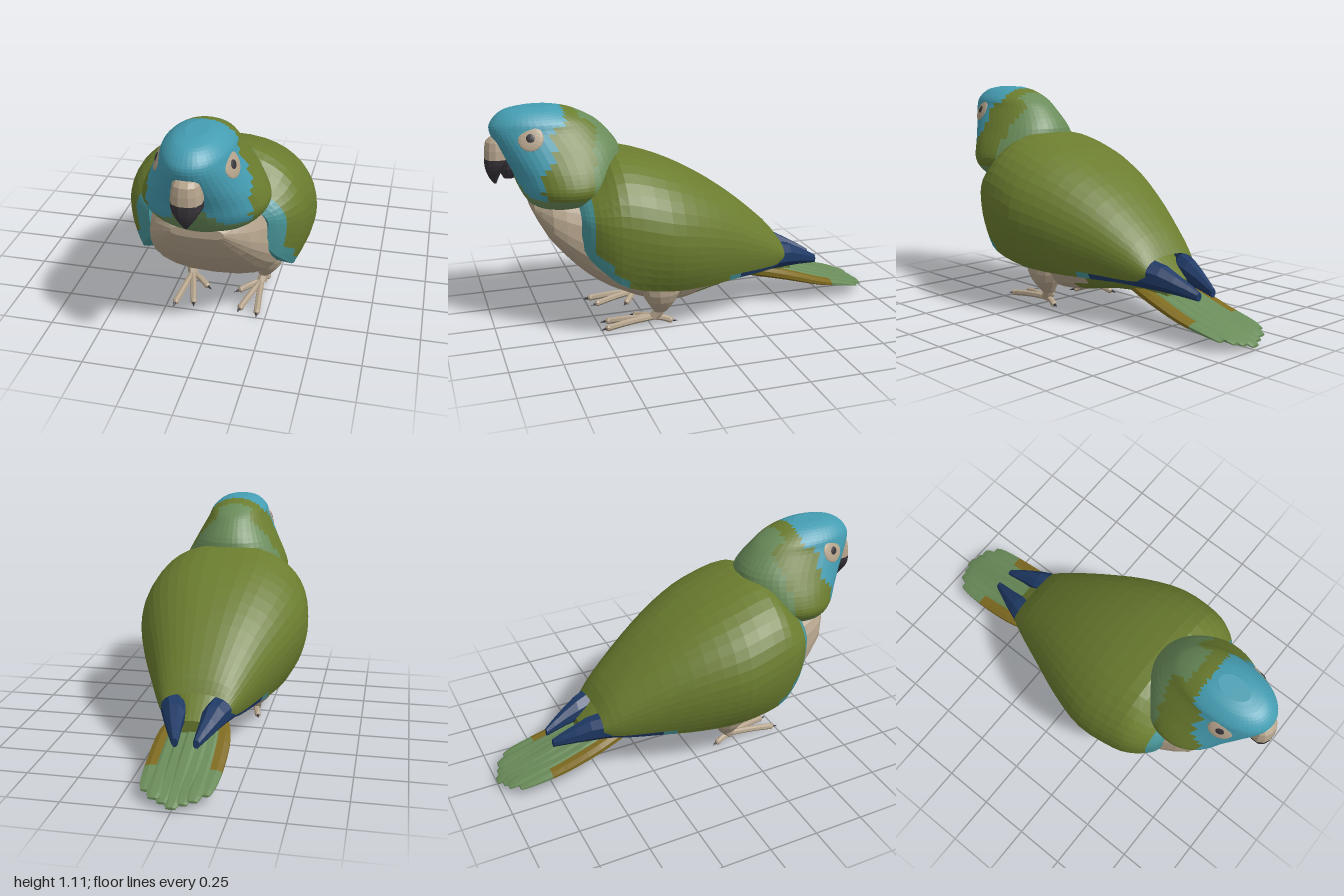
import * as THREE from 'three';

const palette = {
  headBlue: 0x459db2, edgeTeal: 0x489599, leafGreen: 0x6b7d2f, sage: 0x6a8c5a, cream: 0xb5a48c,
  navy: 0x1f3a66, ochre: 0x7f6b20, charcoal: 0x38343a,
};
const mats = {};
for (const [name, color] of Object.entries(palette)) {
  mats[name] = new THREE.MeshStandardMaterial({ color, flatShading: true });
  mats[name].name = name;
}
const V = (x, y, z) => new THREE.Vector3(x, y, z);

// Smoothly subdivides rows of section numbers
function refine(rows, k) {
  const out = [];
  for (let i = 0; i < rows.length - 1; i++) {
    const a = rows[Math.max(i - 1, 0)], b = rows[i], c = rows[i + 1], d = rows[Math.min(i + 2, rows.length - 1)];
    for (let s = 0; s < k; s++) {
      const t = s / k;
      out.push(b.map((p, n) => p + 0.5 * t * (c[n] - a[n] + t * (2 * a[n] - 5 * p + 4 * c[n] - d[n]
        + t * (3 * (p - c[n]) + d[n] - a[n])))));
    }
  }
  out.push(rows[rows.length - 1]);
  return out;
}

// Skins closed rings; colourOf(centre, normal) picks the material of each facet
function skin(name, rings, colourOf, cap = true) {
  const tris = [];
  const quad = (a, b, c, d) => {
    const mid = a.clone().add(b).add(c).add(d).multiplyScalar(0.25);
    tris.push({ p: [a, b, c], mid }, { p: [a, c, d], mid });
  };
  const n = rings[0].length;
  for (let i = 0; i < rings.length - 1; i++)
    for (let j = 0; j < n; j++) {
      const m = (j + 1) % n;
      quad(rings[i][j], rings[i][m], rings[i + 1][m], rings[i + 1][j]);
    }
  if (cap) for (const [ring, flip] of [[rings[0], true], [rings[rings.length - 1], false]]) {
    const mid = ring.reduce((s, p) => s.add(p), V(0, 0, 0)).divideScalar(n);
    for (let j = 0; j < n; j++) {
      const a = ring[j], b = ring[(j + 1) % n];
      tris.push({ p: flip ? [mid, b, a] : [mid, a, b], mid });
    }
  }
  // Turn the facets outward
  let volume = 0;
  for (const { p } of tris) volume += p[0].dot(p[1].clone().cross(p[2]));
  const byColour = {};
  for (const t of tris) {
    if (volume < 0) t.p.reverse();
    const normal = t.p[1].clone().sub(t.p[0]).cross(t.p[2].clone().sub(t.p[0]));
    if (normal.length() < 1e-9) continue;
    (byColour[colourOf(t.mid, normal.normalize())] ??= []).push(...t.p);
  }
  const geo = new THREE.BufferGeometry(), points = [], used = [];
  for (const [colour, list] of Object.entries(byColour)) {
    geo.addGroup(points.length, list.length, used.length);
    points.push(...list);
    used.push(mats[colour]);
  }
  geo.setFromPoints(points);
  geo.computeVertexNormals();
  const mesh = new THREE.Mesh(geo, used);
  mesh.name = name;
  return mesh;
}

// Rounded sections [along, centreA, centreB, halfA, halfB] along 'y' or 'z'; taper narrows their tops
function loft(name, rows, axis, sides, k, colourOf, power = 1, taper = 0) {
  const pw = v => Math.sign(v) * Math.abs(v) ** power;
  const rings = refine(rows, k).map(([s, ca, cb, ha, hb]) => Array.from({ length: sides }, (_, j) => {
    const t = (j + 0.5) / sides * Math.PI * 2;
    const a = ca + ha * pw(Math.cos(t)) * (1 - taper * Math.sin(t)), b = cb + hb * pw(Math.sin(t));
    return axis === 'y' ? V(a, s, b) : V(a, b, s);
  }));
  return skin(name, rings, colourOf);
}

function part(name, geo, colour, pos, parent) {
  const mesh = new THREE.Mesh(geo, mats[colour]);
  mesh.name = name;
  mesh.position.copy(pos);
  parent.add(mesh);
  return mesh;
}

export function createModel() {
  const bird = new THREE.Group();
  bird.name = 'parrot';

  // Body: z, top, bottom, half width
  const body = [[0.79, 0.66, 0.6, 0.12], [0.72, 0.72, 0.465, 0.22], [0.6, 0.75, 0.325, 0.275], [0.5, 0.75, 0.24, 0.305],
    [0.4, 0.75, 0.18, 0.31], [0.25, 0.75, 0.11, 0.295], [0.1, 0.7, 0.085, 0.27], [0, 0.62, 0.1, 0.24],
    [-0.2, 0.5, 0.14, 0.19], [-0.4, 0.36, 0.155, 0.145], [-0.55, 0.24, 0.15, 0.09]];
  bird.add(loft('body', body.map(([z, t, b, w]) => [z, 0, (t + b) / 2, w, (t - b) / 2]), 'z', 26, 2,
    p => p.z < (p.y > 0.17 ? -0.09 : -0.01) ? 'leafGreen' : 'cream', 0.8, 0.17));

  // Back and folded wings: z, top, half width, widest height, lower edge height, lower edge x, thickness
  const wing = [[0.6, 0.69, 0.28, 0.6, 0.48, 0.265, 0], [0.57, 0.74, 0.335, 0.59, 0.42, 0.31, 0.2],
    [0.5, 0.81, 0.395, 0.57, 0.35, 0.35, 0.29], [0.4, 0.885, 0.43, 0.54, 0.28, 0.37, 0.25],
    [0.2, 0.838, 0.445, 0.49, 0.235, 0.36, 0.2], [0, 0.748, 0.39, 0.45, 0.225, 0.325, 0.2],
    [-0.2, 0.62, 0.305, 0.39, 0.225, 0.265, 0.2], [-0.4, 0.45, 0.215, 0.31, 0.225, 0.195, 0.2],
    [-0.48, 0.35, 0.17, 0.28, 0.24, 0.155, 0]];
  const arc = 32;
  const wingRings = refine(wing, 3).map(([z, top, w, mid, low, lx, thick]) => {
    const outer = [], inner = [];
    for (let j = 0; j <= arc; j++) {
      const u = 2 * j / arc - 1, side = Math.sign(u), f = Math.abs(u) * 1.6;
      let x, y;
      if (f < 1) {
        const t = f * Math.PI / 2;
        x = w * Math.sin(t) ** 0.82;
        y = mid + (top - mid) * Math.cos(t);
      } else {
        const g = (f - 1) / 0.6;
        x = w + (lx - w) * g * g;
        y = mid + (low - mid) * g;
      }
      outer.push(V(side * x, y, z));
      inner.unshift(V(side * x * (1 - thick), f < 1 ? y - thick * 0.15 : y + thick * 0.05, z));
    }
    return [...outer, ...inner];
  });
  bird.add(skin('backAndWings', wingRings, (p, n) => {
    const inside = n.x * p.x < 0 || n.y < -0.75;
    if (inside) return p.z < -0.03 ? 'navy' : 'edgeTeal';
    if (p.z < -0.05 && p.y < 0.24) return p.z < -0.22 ? 'navy' : 'edgeTeal';
    if (p.y < 0.7 && p.z > 0.54) return 'edgeTeal';
    return p.z > 0.36 && p.y < 0.3 + (p.z - 0.4) * 1.2 ? 'edgeTeal' : 'leafGreen';
  }, false));

  // Head and hood: y, centre x, centre z, half width, half depth
  const head = [[1.11, 0, 0.745, 0.05, 0.08], [1.092, 0, 0.745, 0.1, 0.16], [1.05, 0, 0.725, 0.147, 0.23],
    [1, 0, 0.7, 0.168, 0.27], [0.9, 0, 0.643, 0.22, 0.287], [0.8, 0, 0.617, 0.272, 0.26],
    [0.73, 0, 0.615, 0.29, 0.235], [0.67, 0, 0.63, 0.25, 0.19], [0.63, 0, 0.66, 0.18, 0.125]];
  bird.add(loft('head', head, 'y', 48, 4, p => {
    const x = Math.abs(p.x);
    if (p.z > 0.58 && p.y < Math.max(0.695, 0.82 - x)) return 'sage';
    if (p.z > (p.y > 1.03 ? 0.63 : 0.7) && x < 0.232) return 'headBlue';
    return p.z < 0.53 - (p.y - 0.8) * 0.2 || (x < 0.09 && p.z < 0.56) ? 'sage' : 'leafGreen';
  }, 0.95));

  // Beak
  bird.add(loft('upperBeak', [[0.975, 0, 0.92, 0.045, 0.035], [0.95, 0, 0.93, 0.06, 0.06], [0.87, 0, 0.935, 0.07, 0.065],
    [0.82, 0, 0.955, 0.056, 0.043], [0.78, 0, 0.96, 0.028, 0.025], [0.745, 0, 0.955, 0.004, 0.006]], 'y', 12, 2,
  p => p.y > 0.875 ? 'cream' : 'charcoal', 0.85));
  bird.add(loft('lowerBeak', [[0.88, 0, 0.88, 0.065, 0.045], [0.82, 0, 0.885, 0.062, 0.05], [0.77, 0, 0.89, 0.03, 0.025]],
    'y', 10, 2, () => 'charcoal'));

  // Tail feathers, the middle ones longest and uppermost
  const tail = new THREE.Group();
  tail.name = 'tail';
  for (let i = -3; i <= 3; i++) {
    const k = Math.abs(i), tip = -1 + [0, 0.02, 0.035, 0.08][k], lift = -0.006 * k;
    const rows = [[-0.3, i * 0.025, 0.21 + lift, 0.04, 0.03], [-0.5, i * 0.043, 0.175 + lift, 0.045, 0.027],
      [-0.7, i * 0.046, 0.118 + lift, 0.045, 0.02], [tip + 0.06, i * 0.044, 0.043 + k * 0.008, 0.042, 0.011],
      [tip, i * 0.044, 0.018 + k * 0.011, 0.024, 0.006]];
    tail.add(loft('tailFeather', rows, 'z', 8, 3, (p, n) =>
      (n.y < -0.1 && p.z > -0.86) || (k === 3 && p.z > -0.74) ? 'ochre' : n.y < -0.1 ? 'leafGreen' : 'sage'));
  }
  bird.add(tail);

  for (const s of [1, -1]) {
    const side = s > 0 ? 'left' : 'right';

    // Long flight feathers at the wing tip
    bird.add(loft(side + 'WingTip', [[-0.2, s * 0.25, 0.23, 0.015, 0.01], [-0.32, s * 0.195, 0.242, 0.03, 0.025],
      [-0.46, s * 0.115, 0.268, 0.066, 0.07], [-0.6, s * 0.08, 0.235, 0.042, 0.047], [-0.71, s * 0.05, 0.195, 0.016, 0.022]],
    'z', 8, 2, () => 'navy'));

    // Eye
    const eye = new THREE.Group();
    eye.name = side + 'Eye';
    eye.position.set(s * 0.158, 0.985, 0.8);
    eye.quaternion.setFromUnitVectors(V(0, 0, 1), V(s, 0.42, 0.3).normalize());
    part('eyeSkin', new THREE.SphereGeometry(0.06, 16, 10), 'cream', V(0, 0, 0), eye).scale.z = 0.18;
    part('pupil', new THREE.SphereGeometry(0.023, 12, 8), 'charcoal', V(0, 0, 0.007), eye).scale.z = 0.3;
    bird.add(eye);

    // Leg and foot
    const leg = new THREE.Group();
    leg.name = side + 'Leg';
    leg.add(loft('thigh', [[0.32, s * 0.2, 0.2, 0.1, 0.14], [0.18, s * 0.21, 0.2, 0.083, 0.1],
      [0.11, s * 0.205, 0.2, 0.052, 0.06], [0.07, s * 0.19, 0.2, 0.03, 0.034]], 'y', 12, 2, () => 'cream'));
    const ankle = V(s * 0.18, 0.035, 0.23);
    const limb = (name, points, r) => part(name,
      new THREE.TubeGeometry(new THREE.CatmullRomCurve3(points), 6, r, 7), 'cream', V(0, 0, 0), leg);
    limb('shank', [V(s * 0.2, 0.12, 0.19), V(s * 0.19, 0.07, 0.205), ankle], 0.027);
    for (const [x, z] of [[0.205, 0.47], [0.12, 0.45], [0.2, 0.15], [0.09, 0.3]]) {
      const end = V(s * x, 0.017, z), dir = end.clone().sub(ankle).setY(0).normalize();
      limb('toe', [ankle, ankle.clone().lerp(end, 0.5).setY(0.03), end], 0.016);
      part('toeTip', new THREE.SphereGeometry(0.017, 7, 5), 'cream', end, leg);
      const claw = part('claw', new THREE.ConeGeometry(0.01, 0.04, 6), 'charcoal',
        end.clone().addScaledVector(dir, 0.022).setY(0.013), leg);
      claw.quaternion.setFromUnitVectors(V(0, 1, 0), dir.clone().setY(-0.2).normalize());
    }
    bird.add(leg);
  }
  return bird;
}
